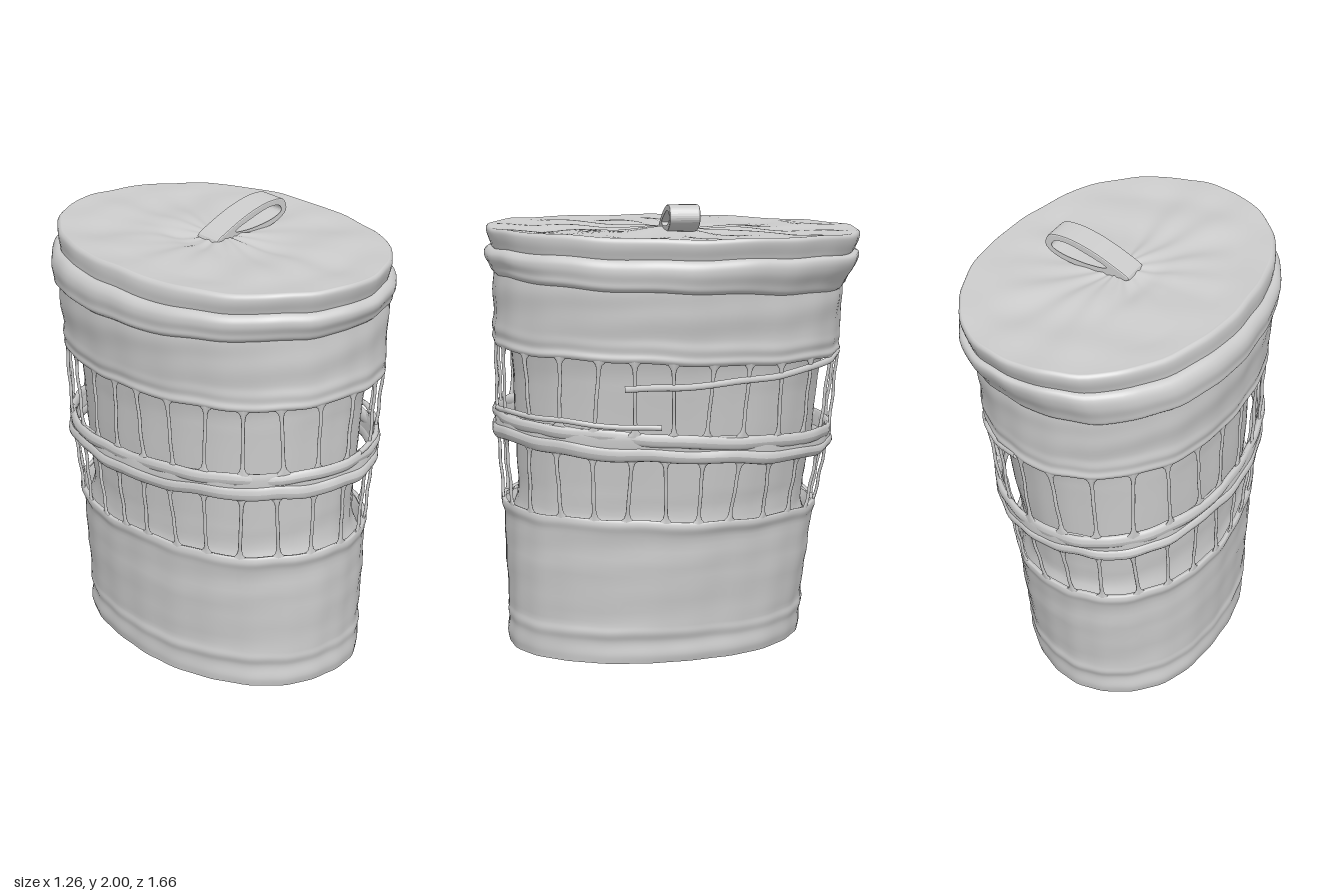
import * as THREE from 'three';

const TAU = Math.PI * 2;
const SEG = 112;

// Oval section by height: y, centre x, centre z, half width, half depth, drop towards the back, skew
const SECTIONS = [
  [0.00, -0.040, 0.084, 0.470, 0.668, 0.02, 0.085],
  [0.68, -0.030, 0.055, 0.508, 0.710, 0.06, 0.075],
  [1.05, -0.020, 0.040, 0.545, 0.750, 0.12, 0.065],
  [1.40, -0.005, 0.025, 0.570, 0.770, 0.07, 0.060],
  [1.72, -0.005, 0.012, 0.610, 0.782, 0.08, 0.060],
  [1.80, 0.005, -0.005, 0.592, 0.802, 0.03, 0.040],
  [1.90, 0.015, -0.008, 0.580, 0.810, 0.03, 0.035],
];

function section(y) {
  let i = 0;
  while (i < SECTIONS.length - 2 && y > SECTIONS[i + 1][0]) i++;
  const a = SECTIONS[i], b = SECTIONS[i + 1];
  const f = THREE.MathUtils.clamp((y - a[0]) / (b[0] - a[0]), 0, 1);
  return a.map((v, n) => THREE.MathUtils.lerp(v, b[n], f));
}

// Point on the slightly crumpled, squarish oval, pushed out by "off" and scaled by "k"
function bodyPoint(t, y, off = 0, k = 1, wobble = 1) {
  const [, cx, cz, ax, az, drop, skew] = section(y);
  const crumple = wobble * (0.002 * Math.sin(23 * t + 2 * y) + 0.003 * Math.sin(7 * t + 5 * y)
    + 0.002 * Math.sin(41 * y + 3 * t));
  const r = off + crumple;
  const square = k * (1 + 0.025 * Math.sin(2 * t) ** 2);
  const x = cx + square * ((ax + r) * Math.cos(t) + skew * Math.sin(t));
  const z = cz + square * (az + r) * Math.sin(t);
  const sag = drop * (0.8 - z) / 1.6;
  const wave = wobble * 0.003 * (Math.sin(5 * t + 9 * y) + Math.sin(13 * t)) * Math.min(1, y * 3);
  return new THREE.Vector3(x, y - sag + wave, z);
}

// Grid of points to a smooth surface; rows are closed loops
function surface(rows) {
  const n = rows[0].length, pos = [], idx = [];
  rows.forEach(row => row.forEach(p => pos.push(p.x, p.y, p.z)));
  for (let i = 0; i < rows.length - 1; i++) {
    for (let j = 0; j < n; j++) {
      const a = i * n + j, b = i * n + (j + 1) % n;
      idx.push(a, a + n, b, b, a + n, b + n);
    }
  }
  const g = new THREE.BufferGeometry();
  g.setAttribute('position', new THREE.Float32BufferAttribute(pos, 3));
  g.setIndex(idx);
  g.computeVertexNormals();
  return g;
}

// Sweep a profile of [y, off, k] round the oval
function sweep(profile, wobble = 1, adjust = null) {
  return surface(profile.map(([y, off, k = 1]) => Array.from({ length: SEG }, (_, j) => {
    const p = bodyPoint(j / SEG * TAU, y, off, k, wobble);
    if (adjust) adjust(p, k);
    return p;
  })));
}

// Smooth a short list of [y, off, k] profile points
function smooth(points, count) {
  const curve = new THREE.CatmullRomCurve3(points.map(([y, off, k = 1]) => new THREE.Vector3(y, off, k)));
  return curve.getPoints(count).map(p => p.toArray());
}

// Distance travelled round the oval per unit of angle
function speed(t, y) {
  const [, , , ax, az, , skew] = section(y);
  return Math.hypot(ax * Math.sin(t) - skew * Math.cos(t), az * Math.cos(t));
}

// Angles spaced evenly along the oval's length
function evenAngles(count, start) {
  const steps = 2000, sums = [0];
  for (let i = 0; i < steps; i++) sums.push(sums[i] + speed(start + i / steps * TAU, 1));
  return Array.from({ length: count }, (_, n) =>
    start + sums.findIndex(s => s >= sums[steps] * n / count) / steps * TAU);
}

// Upright strip of the lattice, flaring into the bands at both ends
function strip(t, y0, y1, lean) {
  const rows = [];
  for (let i = 0; i <= 18; i++) {
    const f = i / 18, y = THREE.MathUtils.lerp(y0, y1, f);
    const half = 0.008 + 0.075 * Math.pow(Math.abs(2 * f - 1), 10);
    rows.push(Array.from({ length: 8 }, (_, j) => {
      const q = -j / 8 * TAU;
      return bodyPoint(t + lean * (f - 0.5) + half * Math.cos(q) / speed(t, y), y, 0.007 * Math.sin(q));
    }));
  }
  return surface(rows);
}

// Thin cord following the body between two angles
function cord(t0, t1, y0, y1, radius) {
  const pts = Array.from({ length: 16 }, (_, i) => {
    const f = i / 15;
    return bodyPoint(t0 + (t1 - t0) * f, y0 + (y1 - y0) * f, 0.002);
  });
  return new THREE.TubeGeometry(new THREE.CatmullRomCurve3(pts), 60, radius, 7);
}

export function createModel() {
  const model = new THREE.Group();
  const material = new THREE.MeshStandardMaterial({ color: 0xcccccc, side: THREE.DoubleSide });
  const add = (name, geometry, parent = model) => {
    const mesh = new THREE.Mesh(geometry, material);
    mesh.name = name;
    parent.add(mesh);
    return mesh;
  };
  const ring = (y, off, ry, rx) => Array.from({ length: 13 }, (_, i) => {
    const q = i / 12 * TAU;
    return [y + ry * Math.sin(q), off + rx * Math.cos(q)];
  });

  // Solid lower wall, open underneath, with a shallow hem and a soft upper edge
  add('lowerWall', sweep(smooth([[0.02, 0.004], [0.06, 0.008], [0.12, 0], [0.16, 0.006], [0.20, 0],
    [0.45, 0.002], [0.62, 0], [0.665, 0.010], [0.69, 0.002], [0.685, -0.014]], 44)));

  // Inner lining seen through the openings, merging into the wall above and below
  add('lining', sweep(smooth([[0.54, -0.004, 1], [0.62, 0, 0.95], [0.70, 0, 0.91], [0.85, 0, 0.90],
    [1.25, 0, 0.90], [1.38, 0, 0.915], [1.46, 0, 0.95], [1.54, -0.004, 1]], 28), 0.8));

  // Middle band: a flat strip with two uneven folds
  const band = new THREE.Group();
  band.name = 'middleBand';
  model.add(band);
  add('bandStrip', sweep(ring(1.045, -0.002, 0.060, 0.012)), band);
  add('lowerFold', sweep(ring(1.012, 0.002, 0.034, 0.020), 1.4), band);
  add('upperFold', sweep(ring(1.080, 0, 0.027, 0.016), -0.8), band);

  // Two tiers of lattice strips
  const lattice = new THREE.Group();
  lattice.name = 'lattice';
  model.add(lattice);
  evenAngles(26, 1.75).forEach((t, i) => {
    add('lowerStrip', strip(t + 0.02, 0.665, 1.005, 0.03 * Math.sin(i * 2.1)), lattice);
    add('upperStrip', strip(t, 1.08, 1.415, 0.03 * Math.sin(i * 1.7)), lattice);
  });
  // Loose cords across the openings on the left side
  add('looseCord', cord(0.26, -1.35, 1.285, 1.395, 0.015), lattice);
  add('looseCord', cord(1.35, 0.05, 1.115, 1.135, 0.012), lattice);

  // Solid upper wall with rolled lower edge and ridges
  add('upperWall', sweep(smooth([[1.43, -0.018], [1.40, -0.014], [1.39, 0], [1.405, 0.010], [1.43, 0.004],
    [1.46, 0.006], [1.50, 0], [1.60, 0], [1.68, -0.004], [1.78, -0.02]], 40)));

  // Overhanging rim fold
  add('rim', sweep(smooth([[1.695, -0.010], [1.71, 0.006], [1.735, 0.014], [1.765, 0.028], [1.79, 0.028],
    [1.81, 0.010], [1.815, -0.03]], 24)));

  // Lid: rounded edge and a gently wrinkled top
  const lidEdge = smooth([[1.80, -0.03], [1.805, -0.006], [1.83, 0.004], [1.865, 0.014], [1.888, 0.014],
    [1.90, 0.004], [1.90, -0.006]], 24);
  const lidTop = Array.from({ length: 25 }, (_, i) => [1.90, -0.006, 1 - (i + 1) / 25]);
  add('lid', sweep([...lidEdge, ...lidTop], 0.8, (p, k) => {
    const fade = THREE.MathUtils.clamp((1 - k) * 5, 0, 1);
    const radial = Math.sin(13 * Math.atan2(p.x, p.z)) * (k * (1 - k)) ** 2;
    const wrinkle = 0.005 * Math.sin(17 * p.z + 4 * p.x) + 0.003 * Math.sin(13 * p.x - 7 * p.z);
    const crease = -0.012 * Math.exp(-(((p.x + 0.12) / 0.05) ** 2) - ((p.z + 0.12) / 0.25) ** 2);
    p.y += fade * (wrinkle + 0.04 * radial + crease - 0.006);
  }));

  // Strap handle: a flattened loop leaning to one side
  const loop = points => new THREE.CatmullRomCurve3(
    points.map(p => new THREE.Vector3(p[0], p[1], 0)), true).getPoints(48)
    .map(p => new THREE.Vector2(p.x, p.y));
  const strap = new THREE.Shape(loop([[-0.06, 1.875], [0.02, 1.922], [0.13, 1.968], [0.24, 1.993],
    [0.315, 1.985], [0.33, 1.94], [0.27, 1.898], [0.10, 1.872]]));
  strap.holes.push(new THREE.Path(loop([[0.04, 1.905], [0.14, 1.946], [0.24, 1.972],
    [0.292, 1.966], [0.303, 1.942], [0.26, 1.918], [0.12, 1.898]])));
  const handle = add('handle', new THREE.ExtrudeGeometry(strap, {
    depth: 0.115, bevelEnabled: true, bevelSize: 0.005, bevelThickness: 0.008, bevelSegments: 2,
  }));
  handle.position.z = -0.065;
  handle.rotation.y = 0.08;

  return model;
}
